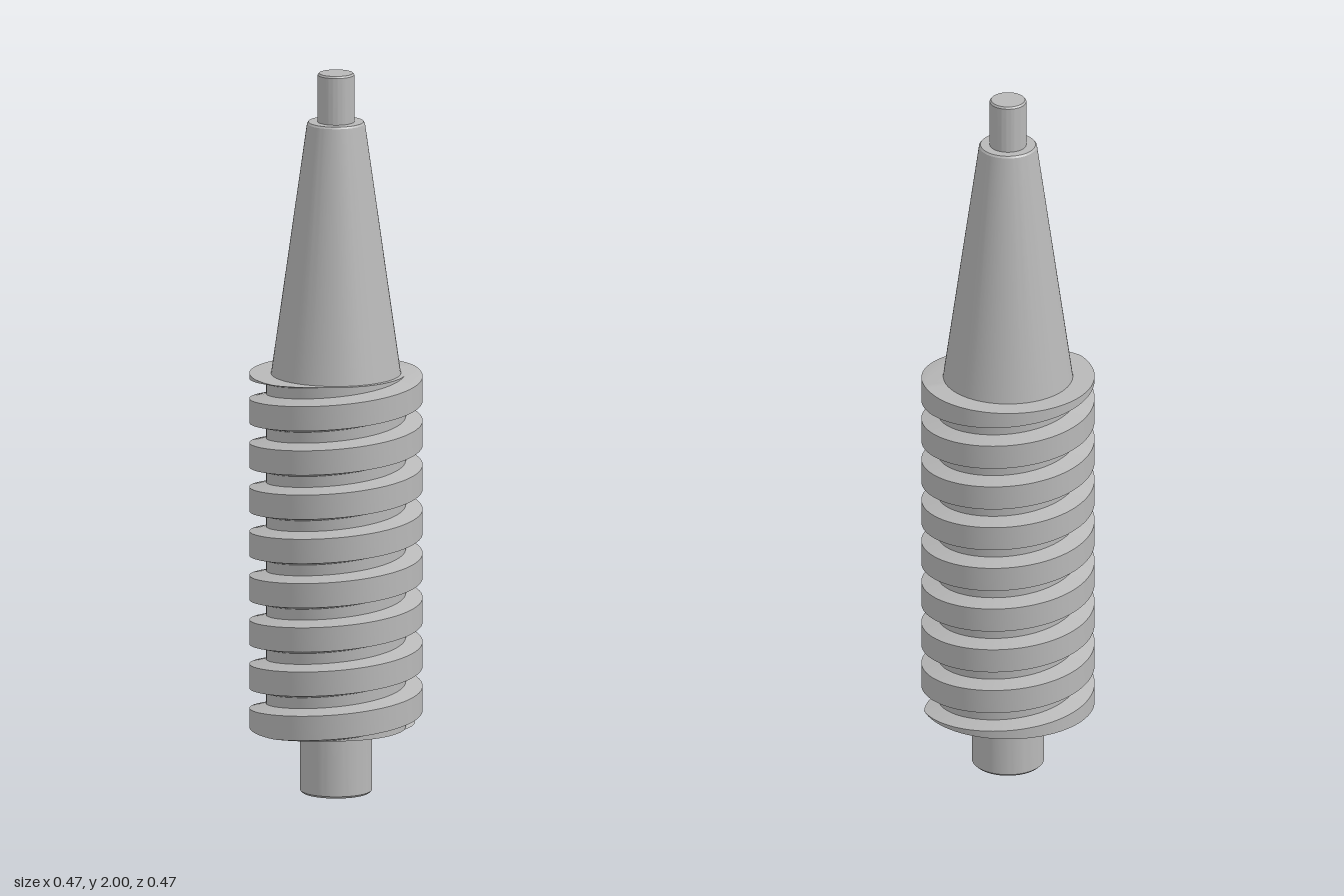
import * as THREE from 'three';
import { toCreasedNormals } from 'three/addons/utils/BufferGeometryUtils.js';

const Y0 = 0.18, Y1 = 1.165, TURNS = 8, PITCH = (Y1 - Y0) / TURNS;
const ROOT = 0.19, CREST = 0.236, SEG = 120;
const HALF_CREST = 0.034, FLANK = 0.0125;
const PHASE = THREE.MathUtils.degToRad(172); // angle where the crest centre meets the end planes

// height of crest centre number k at angle a (right-handed helix)
const crestY = (a, k) => Y0 + PITCH * ((a - PHASE) / (2 * Math.PI) + k);

// trapezoid thread radius at a given angle and height
function threadRadius(a, y) {
  const t = (y - crestY(a, 0)) / PITCH;
  const d = Math.abs(t - Math.round(t)) * PITCH;
  return THREE.MathUtils.lerp(CREST, ROOT, THREE.MathUtils.clamp((d - HALF_CREST) / FLANK, 0, 1));
}

function buildGeometry(triangles) {
  const pos = [];
  for (const [a, b, c] of triangles) {
    const area = b.clone().sub(a).cross(c.clone().sub(a)).length();
    if (area > 1e-9) for (const v of [a, b, c]) pos.push(v.x, v.y, v.z);
  }
  const g = new THREE.BufferGeometry();
  g.setAttribute('position', new THREE.Float32BufferAttribute(pos, 3));
  return toCreasedNormals(g, 0.5);
}

// helical thread cut off flat at both ends
function threadGeometry() {
  const offsets = [-HALF_CREST - FLANK, -HALF_CREST, HALF_CREST, HALF_CREST + FLANK];
  const columns = [];
  for (let i = 0; i <= SEG; i++) {
    const a = (i / SEG) * Math.PI * 2, col = [];
    for (let k = -2; k <= TURNS + 2; k++) {
      for (const o of offsets) {
        const y = THREE.MathUtils.clamp(crestY(a, k) + o, Y0, Y1);
        const r = threadRadius(a, y);
        col.push(new THREE.Vector3(r * Math.sin(a), y, r * Math.cos(a)));
      }
    }
    columns.push(col);
  }
  const tris = [];
  const bottom = new THREE.Vector3(0, Y0, 0), top = new THREE.Vector3(0, Y1, 0);
  for (let i = 0; i < SEG; i++) {
    const p = columns[i], q = columns[i + 1], last = p.length - 1;
    for (let j = 0; j < last; j++) {
      tris.push([p[j], q[j], p[j + 1]], [q[j + 1], p[j + 1], q[j]]);
    }
    tris.push([bottom, q[0], p[0]], [top, p[last], q[last]]);
  }
  return buildGeometry(tris);
}

function turned(points) {
  const g = new THREE.LatheGeometry(points.map(([x, y]) => new THREE.Vector2(x, y)), 72);
  return toCreasedNormals(g, 0.4);
}

export function createModel() {
  const group = new THREE.Group();
  const steel = new THREE.MeshStandardMaterial({ color: 0xb8b8b8 });
  steel.name = 'steel grey';

  const add = (name, geometry) => {
    const mesh = new THREE.Mesh(geometry, steel);
    mesh.name = name;
    group.add(mesh);
  };

  // lower journal with a conical centre hole
  add('lowerShaft', turned([[0, 0.06], [0.045, 0], [0.092, 0], [0.098, 0.006], [0.098, Y0]]));
  // worm thread
  add('wormThread', threadGeometry());
  // tapered shaft
  add('taperedShaft', turned([[0.177, Y1 - 0.002], [0.079, 1.86], [0.075, 1.865], [0, 1.865]]));
  // upper pin
  add('upperPin', turned([[0.05, 1.86], [0.05, 1.995], [0.046, 2], [0, 2]]));
  return group;
}
